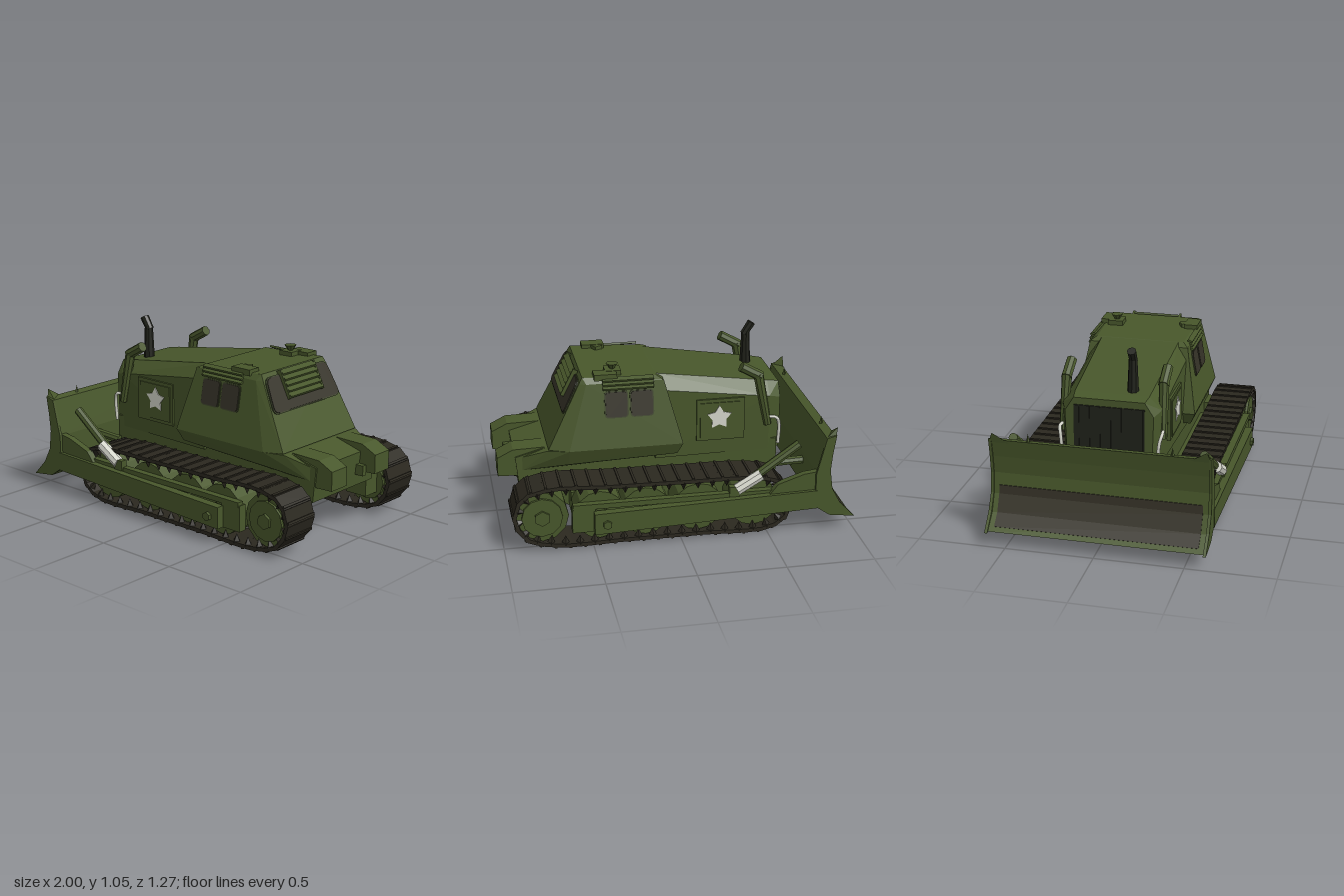
import * as THREE from 'three';
import { ConvexGeometry } from 'three/addons/geometries/ConvexGeometry.js';

const paint = (name, hex) => {
  const m = new THREE.MeshStandardMaterial({ color: hex });
  m.name = name;
  return m;
};
const green = paint('olive green', 0x48572b);
const trimGreen = paint('dark olive trim', 0x3b4327);
const trackDark = paint('track brown black', 0x2b281f);
const glass = paint('dark brown glass', 0x353227);
const black = paint('soot black', 0x20221a);
const light = paint('pale grey', 0xd6d7cc);

const V = (x, y, z) => new THREE.Vector3(x, y, z);
const SIDES = [1, -1];

export function createModel() {
  const root = new THREE.Group();
  root.name = 'bulldozer';

  const add = (name, geo, mat, x = 0, y = 0, z = 0, parent = root) => {
    const m = new THREE.Mesh(geo, mat);
    m.name = name;
    m.position.set(x, y, z);
    parent.add(m);
    return m;
  };
  const flat = (g) => {
    const f = g.index ? g.toNonIndexed() : g;
    f.computeVertexNormals();
    return f;
  };
  const box = (name, mat, w, h, d, x, y, z, parent) => add(name, new THREE.BoxGeometry(w, h, d), mat, x, y, z, parent);
  // side profile in x,y extruded from z0 to z1
  const slab = (name, mat, pts, z0, z1) => {
    const shape = new THREE.Shape(pts.map((p) => new THREE.Vector2(p[0], p[1])));
    const geo = new THREE.ExtrudeGeometry(shape, { depth: Math.abs(z1 - z0), bevelEnabled: false });
    return add(name, geo, mat, 0, 0, Math.min(z0, z1));
  };
  // thin rounded trapezoid plate centred on its own depth
  const plateGeo = (bottomHalf, topHalf, halfH, r, depth) => {
    const c = [[-bottomHalf, -halfH], [bottomHalf, -halfH], [topHalf, halfH], [-topHalf, halfH]].map((p) => new THREE.Vector2(...p));
    const s = new THREE.Shape();
    c.forEach((p, i) => {
      const a = c[(i + 3) % 4].clone().sub(p).setLength(r).add(p);
      const b = c[(i + 1) % 4].clone().sub(p).setLength(r).add(p);
      i ? s.lineTo(a.x, a.y) : s.moveTo(a.x, a.y);
      s.quadraticCurveTo(p.x, p.y, b.x, b.y);
    });
    const g = new THREE.ExtrudeGeometry(s, { depth, bevelEnabled: false, curveSegments: 4 });
    return g.translate(0, 0, -depth / 2);
  };
  // round bar between two points
  const rod = (name, mat, a, b, r0, r1 = r0, sides = 8) => {
    const d = b.clone().sub(a);
    const m = add(name, flat(new THREE.CylinderGeometry(r1, r0, d.length(), sides)), mat);
    m.position.copy(a).addScaledVector(d, 0.5);
    m.quaternion.setFromUnitVectors(V(0, 1, 0), d.normalize());
    return m;
  };
  const wheel = (name, mat, r, w, x, y, z, sides = 14) => {
    const g = new THREE.CylinderGeometry(r, r, w, sides).rotateX(Math.PI / 2);
    return add(name, flat(g), mat, x, y, z);
  };
  // convex body from points mirrored across z
  const hull = (name, mat, pts) => {
    const all = pts.flatMap(([x, y, z]) => [V(x, y, z), V(x, y, -z)]);
    return add(name, new ConvexGeometry(all), mat);
  };

  // hull, hood, cab
  slab('hull', green, [[-0.62, 0.45], [-0.62, 0.22], [-0.52, 0.13], [0.6, 0.13], [0.88, 0.25], [0.9, 0.45], [0.72, 0.5]], -0.27, 0.27);
  hull('hood', green, [
    [-0.64, 0.39, 0.24], [-0.64, 0.7, 0.25], [-0.64, 0.78, 0.2],
    [-0.57, 0.39, 0.27], [-0.57, 0.72, 0.28], [-0.57, 0.792, 0.21],
    [0.1, 0.39, 0.29], [0.1, 0.81, 0.29], [0.1, 0.89, 0.23]]);
  hull('cab', green, [
    [-0.05, 0.5, 0.36], [0.6, 0.5, 0.36], [0.715, 0.505, 0.325],
    [0.05, 0.87, 0.293], [0.49, 0.87, 0.293], [0.53, 0.87, 0.278],
    [0.09, 0.89, 0.26], [0.51, 0.905, 0.27]]);
  hull('cabSkirt', green, [[-0.05, 0.5, 0.36], [0.6, 0.5, 0.36], [0.72, 0.5, 0.325], [-0.02, 0.43, 0.33], [0.6, 0.405, 0.32], [0.86, 0.37, 0.27], [0.86, 0.45, 0.27]]);

  // radiator grille
  box('grille', black, 0.008, 0.34, 0.4, -0.641, 0.57, 0);
  for (let i = 0; i < 7; i++) box('grilleBar', black, 0.014, 0.34, 0.022, -0.643, 0.57, -0.18 + i * 0.06);

  // rear window with its louvre
  const rear = new THREE.Group();
  rear.name = 'rearWindow';
  rear.position.set(0.574, 0.79, 0);
  rear.rotation.set(0, Math.PI / 2, 0.468, 'ZYX');
  root.add(rear);
  add('rearFrame', plateGeo(0.294, 0.268, 0.106, 0.045, 0.006), trimGreen, 0, 0, 0.002, rear);
  add('rearGlass', plateGeo(0.286, 0.259, 0.099, 0.04, 0.009), glass, 0, 0, 0.005, rear);
  for (let i = 0; i < 5; i++) {
    const slat = box('rearSlat', green, 0.29, 0.035, 0.014, 0, -0.025 + i * 0.033, 0.022, rear);
    slat.rotation.x = -0.6;
  }
  for (const s of SIDES) box('louvreEnd', green, 0.012, 0.17, 0.03, s * 0.145, 0.04, 0.014, rear);

  // star outline
  const star = new THREE.Shape();
  for (let i = 0; i < 10; i++) {
    const r = i % 2 ? 0.042 : 0.074, a = Math.PI / 2 + i * Math.PI / 5;
    i ? star.lineTo(r * Math.cos(a), r * Math.sin(a)) : star.moveTo(r * Math.cos(a), r * Math.sin(a));
  }
  const starGeo = new THREE.ExtrudeGeometry(star, { depth: 0.006, bevelEnabled: false }).translate(0, 0, -0.003);

  // closed path of the track belt
  const belt = new THREE.CatmullRomCurve3([
    [-0.5, 0.03], [-0.1, 0.028], [0.3, 0.028], [0.72, 0.03], [0.87, 0.08], [0.935, 0.2], [0.89, 0.32], [0.76, 0.368],
    [0.4, 0.362], [0, 0.355], [-0.4, 0.345], [-0.55, 0.31], [-0.625, 0.2], [-0.6, 0.09]].map((p) => V(p[0], p[1], 0)), true);
  const SHOES = 42;
  const step = belt.getLength() / SHOES;

  for (const s of SIDES) {
    // engine side panel with star
    box('sidePanel', green, 0.28, 0.25, 0.02, -0.28, 0.605, s * 0.287);
    box('sidePanelFace', green, 0.24, 0.21, 0.008, -0.28, 0.605, s * 0.299);
    add('star', starGeo, light, -0.27, 0.62, s * 0.305);

    // cab side windows and vent
    const tilt = -s * 0.179;
    for (const x of [0.18, 0.325]) {
      add('windowFrame', plateGeo(0.068, 0.068, 0.078, 0.024, 0.006), trimGreen, x, 0.75, s * 0.316).rotation.x = tilt;
      add('sideWindow', plateGeo(0.061, 0.061, 0.071, 0.02, 0.009), glass, x, 0.75, s * 0.319).rotation.x = tilt;
    }
    for (let i = 0; i < 3; i++) box('ventSlat', green, 0.29, 0.012, 0.03, 0.255, 0.845 + i * 0.023, s * (0.303 - i * 0.005)).rotation.x = s * 0.4;
    box('roofBump', green, 0.13, 0.035, 0.08, 0.38, 0.905, s * 0.255);

    // air pipe beside the hood
    rod('airPipeLower', green, V(-0.56, 0.55, s * 0.285), V(-0.5, 0.86, s * 0.275), 0.022, 0.03);
    rod('airPipeElbow', green, V(-0.515, 0.845, s * 0.275), V(-0.4, 0.91, s * 0.275), 0.03, 0.03);
    // coolant line
    const line = new THREE.CatmullRomCurve3([V(-0.63, 0.42, s * 0.27), V(-0.63, 0.55, s * 0.28), V(-0.61, 0.59, s * 0.29), V(-0.56, 0.595, s * 0.285)]);
    add('coolantLine', new THREE.TubeGeometry(line, 10, 0.01, 6), light);

    // rear mounting block and hook
    slab('rearBlock', green, [[0.7, 0.5], [0.91, 0.495], [1, 0.45], [1, 0.34], [0.7, 0.33]], s * 0.13, s * 0.26);
    box('rearHook', green, 0.06, 0.06, 0.03, 0.91, 0.35, s * 0.115);

    // track shoes with grousers and inner teeth
    const track = new THREE.Group();
    track.name = 'track';
    root.add(track);
    for (let i = 0; i < SHOES; i++) {
      const p = belt.getPointAt(i / SHOES), t = belt.getTangentAt(i / SHOES);
      const shoe = new THREE.Group();
      shoe.name = 'trackShoe';
      shoe.position.set(p.x, p.y, s * 0.455);
      shoe.rotation.z = Math.atan2(t.y, t.x);
      track.add(shoe);
      box('shoePlate', trackDark, step * 1.08, 0.022, 0.226, 0, 0, 0, shoe);
      box('grouser', trackDark, 0.014, 0.01, 0.22, -step * 0.35, -0.013, 0, shoe);
      for (const e of SIDES) add('tooth', flat(new THREE.ConeGeometry(0.026, 0.05, 4)), trackDark, 0, 0.028, e * 0.09, shoe);
    }

    // running gear
    for (const x of [-0.42, -0.1, 0.2, 0.46]) {
      wheel('roadWheel', green, 0.143, 0.17, x, 0.185, s * 0.455);
      wheel('wheelHub', green, 0.05, 0.2, x, 0.185, s * 0.455, 8);
    }
    wheel('sprocket', green, 0.15, 0.17, 0.785, 0.2, s * 0.455, 12);
    wheel('sprocketRim', green, 0.115, 0.2, 0.785, 0.2, s * 0.455, 12);
    wheel('sprocketHub', green, 0.045, 0.23, 0.785, 0.2, s * 0.455, 6);
    box('trackFrame', green, 1.1, 0.13, 0.1, 0.05, 0.19, s * 0.32);
    box('axleHousing', green, 0.14, 0.14, 0.12, 0.785, 0.21, s * 0.31);

    // push arm
    slab('pushArm', green, [[-0.78, 0.26], [0.5, 0.225], [0.5, 0.1], [-0.78, 0.15]], s * 0.57, s * 0.62);
    slab('armBracket', green, [[-0.78, 0.37], [-0.7, 0.36], [-0.55, 0.31], [-0.5, 0.25], [-0.78, 0.25]], s * 0.56, s * 0.6);
    box('armRail', green, 1.15, 0.03, 0.04, 0.04, 0.255, s * 0.56);
    box('armEnd', green, 0.13, 0.15, 0.05, 0.555, 0.175, s * 0.55);
    wheel('armBolt', green, 0.026, 0.03, 0.43, 0.16, s * 0.622, 6);

    // lift cylinder
    rod('liftCylinder', green, V(-0.68, 0.525, s * 0.54), V(-0.42, 0.35, s * 0.555), 0.026);
    rod('liftSleeve', light, V(-0.455, 0.365, s * 0.565), V(-0.315, 0.285, s * 0.57), 0.034);
    box('liftFoot', green, 0.06, 0.06, 0.04, -0.3, 0.28, s * 0.57);
    // inner blade link
    rod('bladeLink', green, V(-0.78, 0.31, s * 0.29), V(-0.6, 0.3, s * 0.28), 0.025);

    // blade end plate and spikes along the top edge
    slab('bladeEnd', green, [[-0.875, 0.59], [-0.82, 0.575], [-0.765, 0.36], [-0.765, 0.16], [-0.85, 0.1], [-1, 0.08], [-0.91, 0.175], [-0.862, 0.265], [-0.847, 0.38], [-0.857, 0.48]], s * 0.6, s * 0.617);
    add('bladeCorner', new ConvexGeometry([V(-0.885, 0.63, s * 0.592), V(-0.87, 0.57, s * 0.615), V(-0.82, 0.57, s * 0.6), V(-0.87, 0.57, s * 0.5)]), green);
    add('bladeSpike', flat(new THREE.ConeGeometry(0.012, 0.05, 4)), green, -0.845, 0.6, s * 0.4);
  }

  // blade and its worn lower face
  slab('blade', green, [[-0.87, 0.585], [-0.82, 0.575], [-0.775, 0.36], [-0.775, 0.16], [-0.85, 0.1], [-0.985, 0.085],
    [-0.9, 0.165], [-0.855, 0.26], [-0.84, 0.38], [-0.85, 0.48]], -0.6, 0.6);
  slab('bladeWear', glass, [[-0.965, 0.109], [-0.904, 0.167], [-0.859, 0.261], [-0.853, 0.31], [-0.847, 0.31], [-0.853, 0.26], [-0.898, 0.163], [-0.96, 0.105]], -0.57, 0.57);

  // exhaust stack
  rod('exhaustBase', black, V(-0.515, 0.77, 0.105), V(-0.515, 0.99, 0.105), 0.034, 0.024);
  rod('exhaustTip', black, V(-0.505, 0.97, 0.105), V(-0.55, 1.04, 0.105), 0.024, 0.026);

  // roof fittings
  add('roofHorn', flat(new THREE.CylinderGeometry(0.035, 0.012, 0.035, 8)), green, 0.33, 0.938, -0.2);
  box('roofHornBase', green, 0.09, 0.03, 0.09, 0.33, 0.91, -0.2);
  box('roofCap', green, 0.05, 0.03, 0.05, 0.36, 0.905, 0.21).rotation.y = 0.5;
  return root;
}
